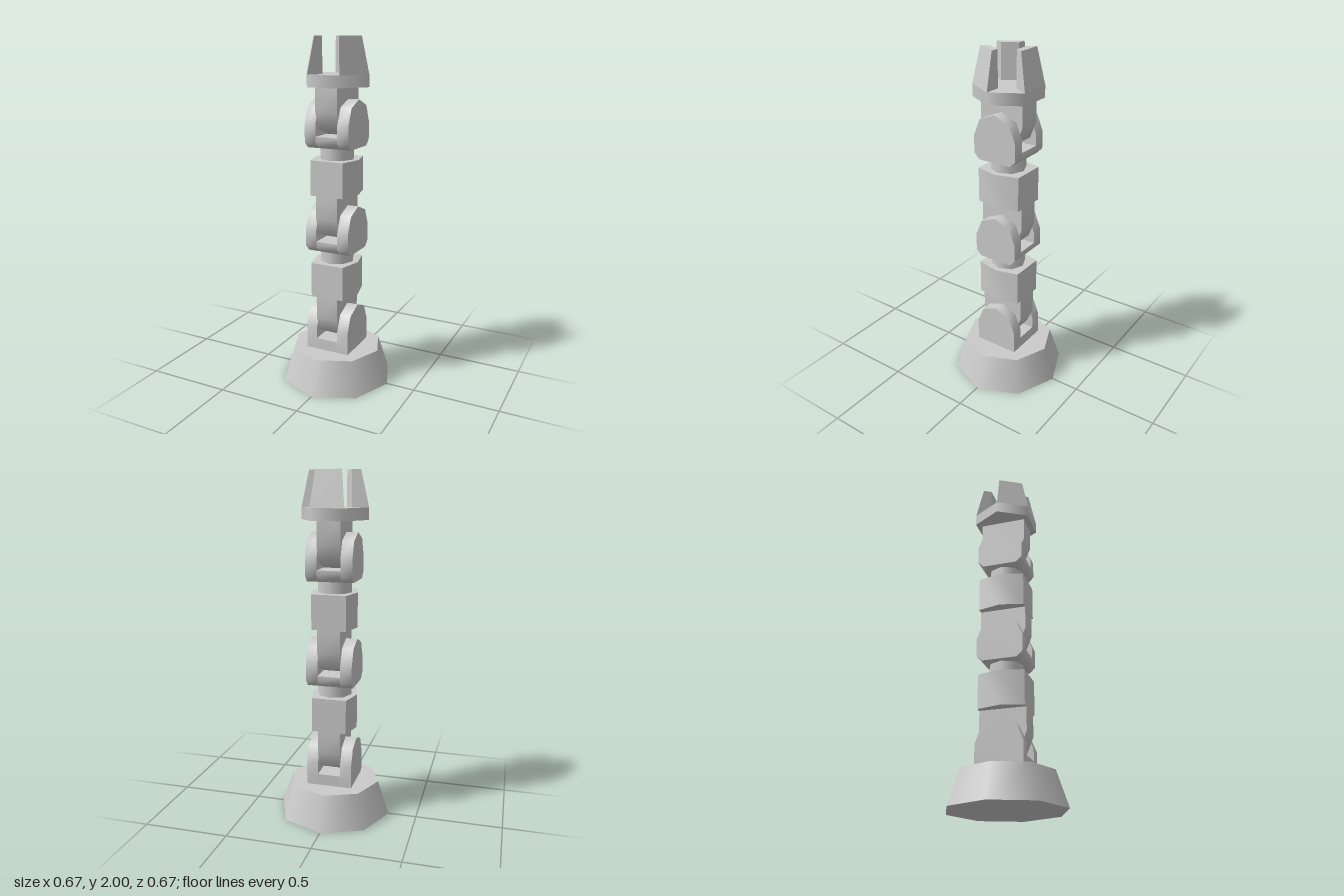
import * as THREE from 'three';
import { toCreasedNormals } from 'three/addons/utils/BufferGeometryUtils.js';

const U = 1 / 15; // basic module of the arm
const R = 2 * U; // joint radius
const H = R * Math.SQRT1_2;

const material = new THREE.MeshStandardMaterial({ color: 0xcccccc });

function add(parent, name, geometry, x = 0, y = 0, z = 0) {
  const mesh = new THREE.Mesh(geometry, material);
  mesh.name = name;
  mesh.position.set(x, y, z);
  parent.add(mesh);
  return mesh;
}

function extrude(points, depth) {
  const shape = new THREE.Shape(points.map(([a, b]) => new THREE.Vector2(a, b)));
  return new THREE.ExtrudeGeometry(shape, { depth, bevelEnabled: false });
}

// Profile in the side plane, extruded across x and centred
function sidePlate(points, width) {
  const g = extrude(points, width).translate(0, 0, -width / 2).rotateY(Math.PI / 2);
  return toCreasedNormals(g, 0.85);
}

// Forked lower half of a joint; c is the chamfer of its underside
function addFork(parent, c) {
  const fork = new THREE.Group();
  fork.name = 'fork';
  const bottom = c ? [[-R, c], [-R + c, 0], [R - c, 0], [R, c]] : [[-R, 0], [R, 0]];
  const cheek = sidePlate([...bottom, [R, R], [H, R + H], [0, 2 * R], [-H, R + H], [-R, R]], U);
  add(fork, 'leftCheek', cheek, 1.5 * U);
  add(fork, 'rightCheek', cheek, -1.5 * U);
  add(fork, 'forkFloor', sidePlate([...bottom, [R, U], [-R, U]], 2 * U));
  parent.add(fork);
}

// One gripper finger: a box reshaped into a tapering slice of a hexagon
function fingerGeometry() {
  const g = new THREE.BoxGeometry(1, 1, 1);
  const p = g.attributes.position;
  for (let i = 0; i < p.count; i++) {
    const r = p.getZ(i) > 0 ? 0.096 : p.getY(i) > 0 ? 0.146 : 0.192;
    p.setXYZ(i, Math.sign(p.getX(i)) * r / 2, (p.getY(i) + 0.5) * 3 * U, -r * Math.sqrt(3) / 2);
  }
  g.computeVertexNormals();
  return g;
}

export function createModel() {
  const model = new THREE.Group();
  model.name = 'roboticArm';

  // Octagonal foot
  add(model, 'base', new THREE.CylinderGeometry(4 * U, 5 * U, 3 * U, 8), 0, 1.5 * U, 0);

  // Three stacked hinge joints
  const tongue = sidePlate([[-R, 0], [-H, -H], [0, -R], [H, -H], [R, 0], [R, R], [-R, R]], 2 * U);
  const blockPlan = [[-0.1, -R], [0.1, -R], [R, 0], [0.1, R], [-0.1, R], [-R, 0]];
  const block = toCreasedNormals(extrude(blockPlan, 3 * U).rotateX(-Math.PI / 2), 0.6);
  const pin = new THREE.CylinderGeometry(1.5 * U, 1.5 * U, U, 8);
  for (let i = 0; i < 3; i++) {
    const joint = new THREE.Group();
    joint.name = 'joint' + (i + 1);
    joint.position.y = (3 + 9 * i) * U;
    addFork(joint, i ? U / 2 : 0);
    add(joint, 'tongue', tongue, 0, 3 * U, 0);
    if (i < 2) {
      add(joint, 'linkBlock', block, 0, 5 * U, 0);
      add(joint, 'swivelPin', pin, 0, 8.5 * U, 0);
    }
    model.add(joint);
  }

  // Gripper: hexagonal palm with three fingers
  const gripper = new THREE.Group();
  gripper.name = 'gripper';
  gripper.position.y = 26 * U;
  const palm = new THREE.CylinderGeometry(0.192, 0.192, U, 6).rotateY(Math.PI / 6);
  add(gripper, 'palm', palm, 0, U / 2, 0);
  const finger = fingerGeometry();
  for (let i = 0; i < 3; i++) {
    add(gripper, 'finger' + (i + 1), finger, 0, U, 0).rotation.y = i * Math.PI * 2 / 3;
  }
  model.add(gripper);

  return model;
}
